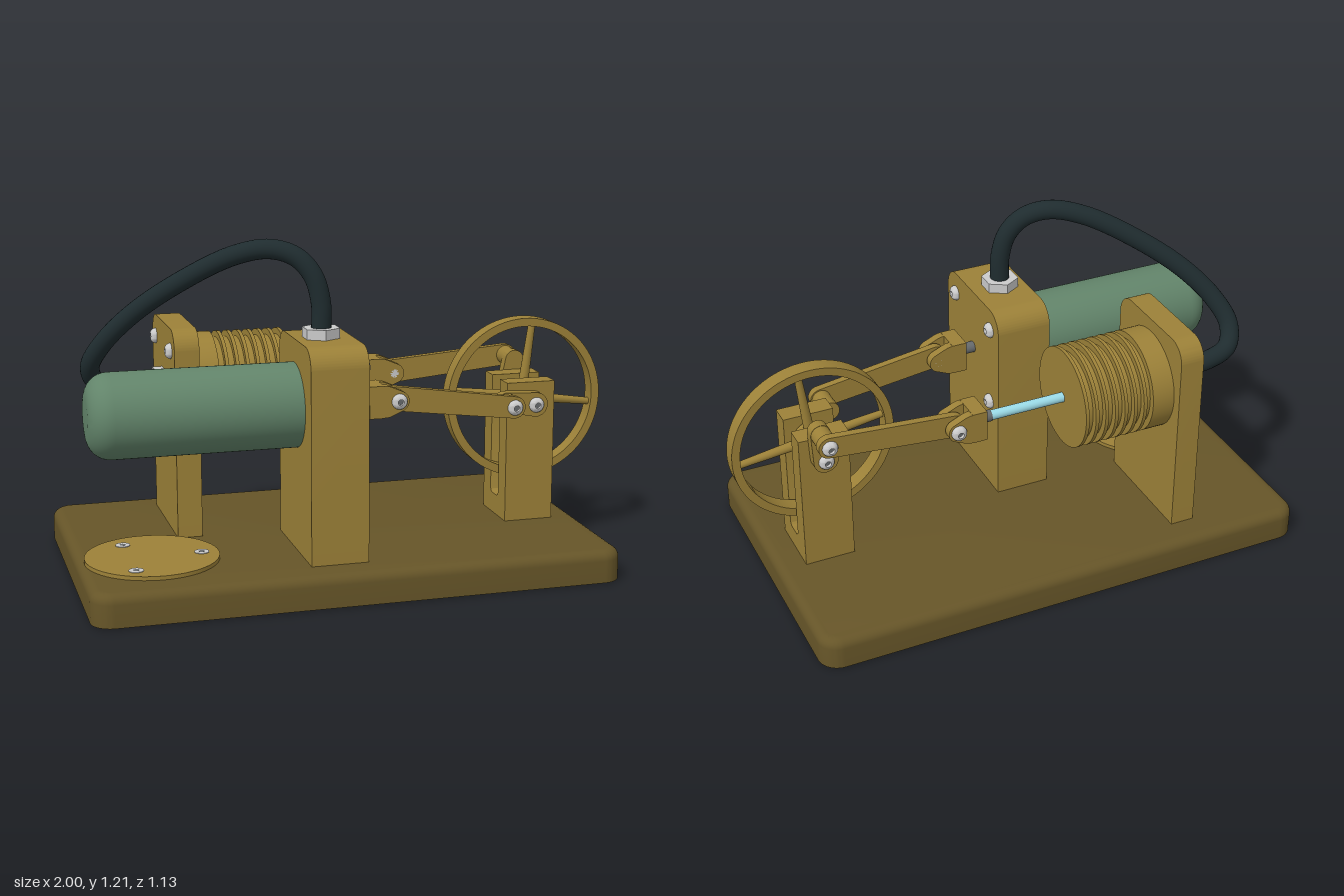
import * as THREE from 'three';
import { toCreasedNormals } from 'three/addons/utils/BufferGeometryUtils.js';

const mat = (color) => new THREE.MeshStandardMaterial({ color });
const UP = new THREE.Vector3(0, 1, 0);
const X = [1, 0, 0], NX = [-1, 0, 0], Y = [0, 1, 0], NY = [0, -1, 0], Z = [0, 0, 1], NZ = [0, 0, -1];

export function createModel() {
  const model = new THREE.Group();
  const brass = mat(0x9c8138), wood = mat(0x665528), green = mat(0x62846a);
  const rubber = mat(0x1f2c2f), blue = mat(0x9bdbe8), steel = mat(0xcccccc), dark = mat(0x666a6c);

  const add = (name, geo, m, x = 0, y = 0, z = 0, parent = model) => {
    const mesh = new THREE.Mesh(geo, m);
    mesh.name = name;
    mesh.position.set(x, y, z);
    parent.add(mesh);
    return mesh;
  };
  const aim = (obj, dir) => {
    obj.quaternion.setFromUnitVectors(UP, new THREE.Vector3(...dir));
    return obj;
  };
  // round bar starting at a point and running along a direction
  const bar = (name, m, p, dir, r, len, sides = 32) => {
    const g = new THREE.CylinderGeometry(r, r, len, sides).translate(0, len / 2, 0);
    return aim(add(name, g, m, ...p), dir);
  };
  // turned part: profile of [radius, height] pairs, from base to tip
  const turned = (name, m, p, dir, pts, sides = 48) => {
    const g = new THREE.LatheGeometry(pts.map((q) => new THREE.Vector2(...q)), sides);
    return aim(add(name, toCreasedNormals(g, 0.6), m, ...p), dir);
  };
  // domed screw head with a socket
  const screw = (name, p, dir) => {
    turned(name, steel, p, dir, [[0.028, 0], [0.028, 0.006], [0.024, 0.014], [0.018, 0.019],
      [0.011, 0.021], [0.011, 0.009], [0, 0.009]], 24);
    bar(name + 'Socket', dark, p, dir, 0.0105, 0.0095, 6);
  };
  // flush screw
  const flushScrew = (name, p, dir) => {
    bar(name, steel, p, dir, 0.026, 0.003, 24);
    bar(name + 'Socket', dark, p, dir, 0.012, 0.0035, 6);
  };
  // profile drawn in z and y, extruded from x0 to x1
  const extrudeX = (name, shape, m, x0, x1) => {
    const g = new THREE.ExtrudeGeometry(shape, { depth: x1 - x0, bevelEnabled: false, curveSegments: 12 });
    add(name, toCreasedNormals(g.rotateY(-Math.PI / 2), 0.5), m, x1);
  };
  // flat link with two round ends, lying in the xy plane
  const link = (name, a, ra, b, rb, z, depth) => {
    const d = Math.hypot(b[0] - a[0], b[1] - a[1]);
    const t = Math.atan2(b[1] - a[1], b[0] - a[0]), phi = Math.acos((ra - rb) / d);
    const s = new THREE.Shape();
    s.absarc(...a, ra, t + phi, t - phi + Math.PI * 2, false);
    s.absarc(...b, rb, t - phi, t + phi, false);
    const g = new THREE.ExtrudeGeometry(s, { depth, bevelEnabled: false, curveSegments: 20 });
    add(name, toCreasedNormals(g, 0.5), brass, 0, 0, z - depth / 2);
  };
  // upright with rounded top corners
  const upright = (name, z0, z1, x0, x1) => {
    const s = new THREE.Shape(), r = 0.075, y0 = 0.113, y1 = 0.87;
    s.moveTo(z0, y0);
    s.lineTo(z1, y0);
    s.absarc(z1 - r, y1 - r, r, 0, Math.PI / 2, false);
    s.absarc(z0 + r, y1 - r, r, Math.PI / 2, Math.PI, false);
    extrudeX(name, s, brass, x0, x1);
  };

  // base: rounded slab, softened on top and flat below
  const bv = 0.035, hw = 0.9425 - bv, hd = 0.565 - bv, cr = 0.04, slab = new THREE.Shape();
  [[1, 1, 0], [-1, 1, 1], [-1, -1, 2], [1, -1, 3]].forEach(([sx, sy, k]) =>
    slab.absarc(sx * (hw - cr), sy * (hd - cr), cr, k * Math.PI / 2, (k + 1) * Math.PI / 2, false));
  const baseGeo = new THREE.ExtrudeGeometry(slab, { depth: 0.08, bevelThickness: bv, bevelSize: bv, bevelSegments: 6, curveSegments: 8 });
  baseGeo.rotateX(-Math.PI / 2);
  const bp = baseGeo.attributes.position;
  for (let i = 0; i < bp.count; i++) bp.setY(i, Math.max(0, bp.getY(i)));
  add('base', toCreasedNormals(baseGeo, 0.5), wood, -0.0575);

  // cylinder uprights
  const cy = 0.637, fz = 0.223, rz = -0.23;
  upright('frontUpright', 0, 0.45, -0.23, -0.025);
  upright('rearUpright', -0.452, -0.002, -0.61, -0.52);
  for (const dy of [-0.152, 0.152]) for (const dz of [-0.152, 0.152]) {
    screw('frontUprightScrew', [-0.025, cy + dy, fz + dz], X);
    screw('rearUprightScrew', [-0.61, cy + dy, rz + dz], NX);
  }

  // smooth displacer cylinder with a rounded end
  const shell = [[0.15, 0], [0.15, 0.65]];
  for (let i = 1; i <= 8; i++) {
    const a = i * Math.PI / 16;
    shell.push([0.068 + 0.082 * Math.cos(a), 0.65 + 0.082 * Math.sin(a)]);
  }
  shell.push([0, 0.732]);
  turned('displacerCylinder', green, [-0.229, cy, fz], NX, shell, 64);

  // finned power cylinder
  const fins = [[0.186, 0], [0.186, 0.085]];
  for (let i = 0; i < 7; i++) {
    const x = 0.109 + i * 0.0382;
    fins.push([0.163, fins.at(-1)[1]], [0.163, x], [0.186, x], [0.186, x + 0.013]);
  }
  fins.push([0, fins.at(-1)[1]]);
  turned('finnedCylinder', brass, [-0.521, cy, rz], X, fins, 64);

  // hose with hex fittings at both ends
  const path = new THREE.CatmullRomCurve3([
    [-0.135, 0.88, 0.225], [-0.135, 0.99, 0.224], [-0.16, 1.085, 0.215], [-0.215, 1.15, 0.193],
    [-0.3, 1.176, 0.16], [-0.42, 1.15, 0.11], [-0.6, 1.05, 0.03], [-0.75, 0.935, -0.045],
    [-0.85, 0.82, -0.11], [-0.888, 0.73, -0.165], [-0.86, 0.665, -0.21], [-0.77, 0.64, -0.23],
    [-0.62, cy, -0.23]].map((p) => new THREE.Vector3(...p)));
  add('hose', new THREE.TubeGeometry(path, 120, 0.035, 20), rubber);
  const hex = (name, p, dir) => {
    const g = new THREE.CylinderGeometry(0.068, 0.068, 0.036, 6).translate(0, 0.018, 0);
    aim(add(name, toCreasedNormals(g, 0.4), steel, ...p), dir);
  };
  hex('topHoseNut', [-0.135, 0.87, 0.225], Y);
  hex('rearHoseNut', [-0.61, cy, rz], NX);

  // flange plate with three flush screws
  bar('flangePlate', brass, [-0.742, 0.112, 0.215], Y, 0.235, 0.017, 64);
  for (let i = 0; i < 3; i++) {
    const a = i * Math.PI * 2 / 3;
    const x = -0.738 + 0.17 * Math.cos(a), z = 0.222 + 0.17 * Math.sin(a);
    flushScrew('flangeScrew', [x, 0.128, z], Y);
    bar('flangeScrewTip', dark, [x, 0, z], NY, 0.006, 0.002, 12);
  }

  // screws under the base
  for (const [x, z, gap] of [[0.69, 0, 0.075], [-0.13, 0.225, 0.125], [-0.565, -0.227, 0.125]])
    for (const s of [-1, 1]) flushScrew('baseScrew', [x, 0.0005, z + s * gap], NY);

  // forked bearing pedestal
  const fork = new THREE.Shape(), so = 0.04, rb = 0.02;
  fork.moveTo(-0.115, 0.113);
  fork.lineTo(0.115, 0.113);
  fork.lineTo(0.115, 0.64);
  fork.lineTo(so, 0.64);
  fork.lineTo(so, 0.19 + rb);
  fork.absarc(so - rb, 0.19 + rb, rb, 0, -Math.PI / 2, true);
  fork.absarc(rb - so, 0.19 + rb, rb, -Math.PI / 2, -Math.PI, true);
  fork.lineTo(-so, 0.64);
  fork.lineTo(-0.115, 0.64);
  extrudeX('pedestal', fork, brass, 0.6, 0.785);

  // flywheel
  const ax = 0.7, ay = 0.562;
  const wheel = new THREE.Group();
  wheel.name = 'flywheel';
  wheel.position.set(ax, ay, 0);
  wheel.rotation.z = -0.13;
  model.add(wheel);
  const rim = [[0.27, 0.03], [0.27, -0.03], [0.3, -0.03], [0.3, 0.03], [0.27, 0.03]];
  const rimGeo = new THREE.LatheGeometry(rim.map((q) => new THREE.Vector2(...q)), 96).rotateX(Math.PI / 2);
  add('rim', toCreasedNormals(rimGeo, 0.5), brass, 0, 0, 0, wheel);
  add('hub', new THREE.CylinderGeometry(0.05, 0.05, 0.07, 32).rotateX(Math.PI / 2), brass, 0, 0, 0, wheel);
  for (let i = 0; i < 4; i++) {
    const g = new THREE.CylinderGeometry(0.013, 0.019, 0.25, 16).translate(0, 0.155, 0);
    add('spoke', g, brass, 0, 0, 0, wheel).rotation.z = i * Math.PI / 2;
  }
  bar('crankshaft', steel, [ax, ay, -0.15], Z, 0.025, 0.3);

  // one drive per side: rod tip, clevis, connecting rod and crank
  const drive = (side, z, s, x0, pin) => {
    const out = s > 0 ? Z : NZ, p = [x0 + 0.108, cy];
    add(side + 'ClevisBlock', new THREE.BoxGeometry(0.055, 0.116, 0.112), brass, x0 + 0.0275, cy, z);
    for (const d of [-1, 1]) link(side + 'ClevisArm', [x0 + 0.058, cy], 0.057, p, 0.037, z + d * 0.04, 0.032);
    bar(side + 'ClevisPin', steel, [...p, z - 0.056], Z, 0.016, 0.112);
    screw(side + 'ClevisScrew', [...p, z + s * 0.056], out);
    link(side + 'ConnectingRod', p, 0.044, pin, 0.04, z, 0.028);
    link(side + 'CrankWeb', [ax, ay], 0.045, pin, 0.036, s * 0.134, 0.038);
    bar(side + 'CrankBoss', brass, [...pin, s * 0.15], out, 0.035, Math.abs(z) - 0.163);
    screw(side + 'CrankPinScrew', [...pin, z + s * 0.014], out);
    screw(side + 'ShaftScrew', [ax, ay, s * 0.153], out);
  };
  drive('front', fz, 1, 0.027, [0.585, 0.577]);
  drive('rear', rz, -1, 0.15, [0.715, 0.677]);
  bar('frontPistonRod', dark, [-0.026, cy, fz], X, 0.021, 0.056);
  bar('rearPistonRod', blue, [-0.18, cy, rz], X, 0.018, 0.3);
  bar('rearRodTip', dark, [0.113, cy, rz], X, 0.021, 0.04);

  return model;
}
